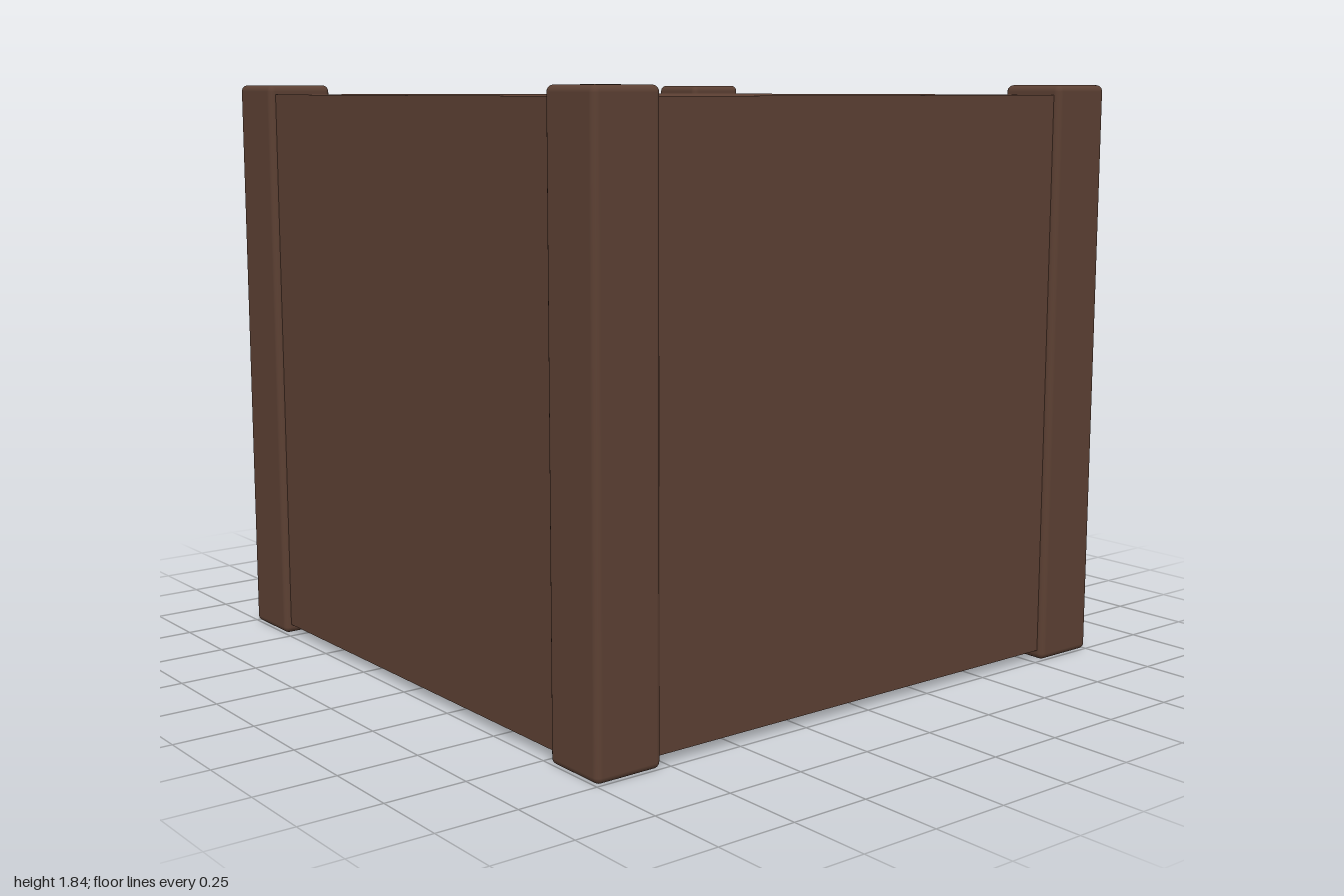
import * as THREE from 'three';
import { RoundedBoxGeometry } from 'three/addons/geometries/RoundedBoxGeometry.js';

const HEIGHT = 1.84;
const POST = 0.22;

export function createModel() {
  const group = new THREE.Group();
  group.name = 'crate';
  const wood = new THREE.MeshStandardMaterial({ color: 0x5c4033 });

  // Main box, slightly inset from the posts on every side
  const body = new THREE.Mesh(new THREE.BoxGeometry(1.96, 1.78, 1.96), wood);
  body.name = 'body';
  body.position.y = HEIGHT / 2;
  group.add(body);

  // Four corner posts with softened edges
  const postGeometry = new RoundedBoxGeometry(POST, HEIGHT, POST, 3, 0.02);
  const offset = 1 - POST / 2;
  for (const [z, depth] of [[offset, 'front'], [-offset, 'back']]) {
    for (const [x, side] of [[offset, 'Left'], [-offset, 'Right']]) {
      const post = new THREE.Mesh(postGeometry, wood);
      post.name = `${depth}${side}Post`;
      post.position.set(x, HEIGHT / 2, z);
      group.add(post);
    }
  }
  return group;
}
